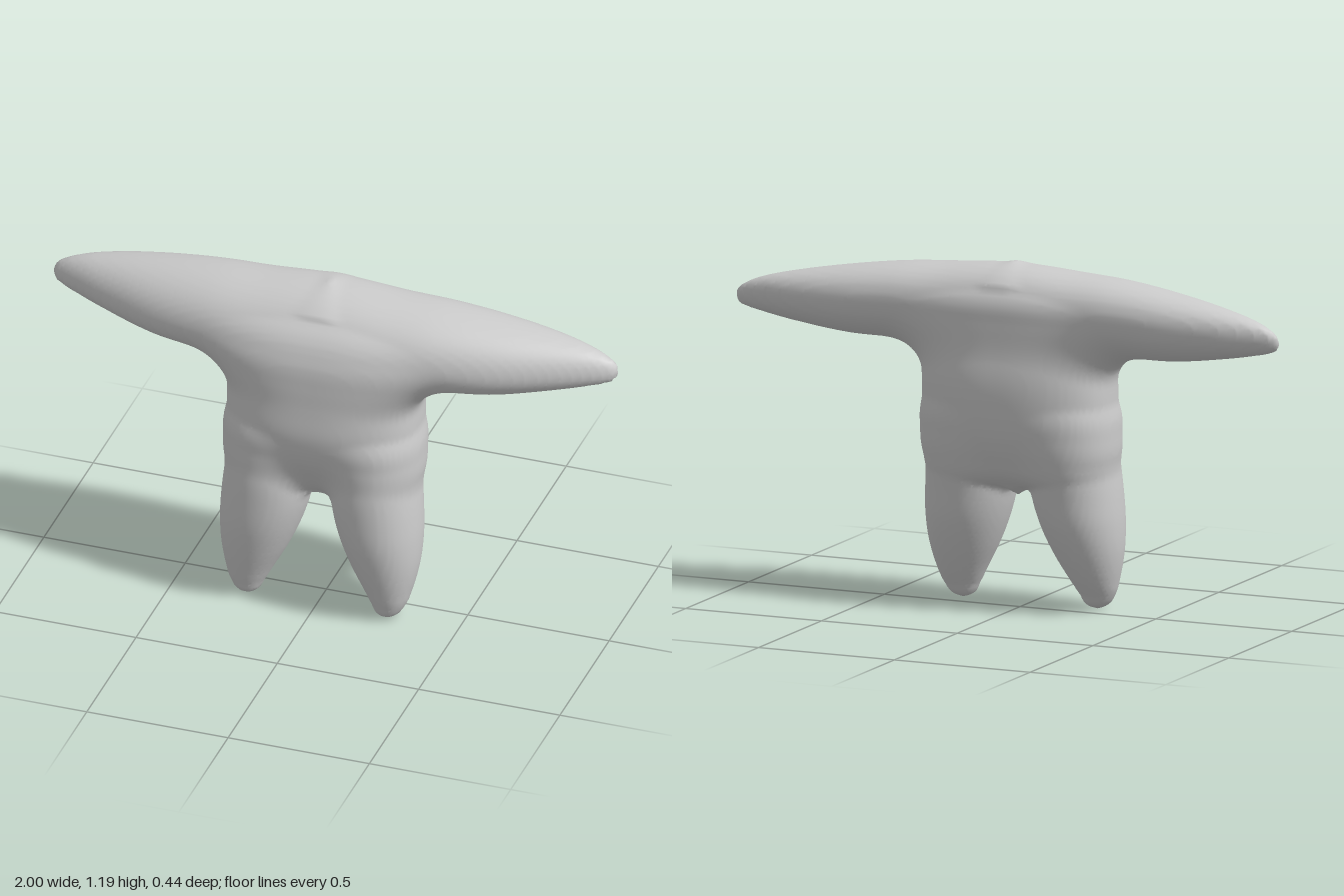
import * as THREE from 'three';

// A soft limb: rows of [t, uMin, uMax, vMin, vMax] give oval sections along an axis.
// Returns a function that is negative inside the limb.
function limb(rows, power, lean = 0) {
  const sections = new THREE.CubicInterpolant(
    rows.map(r => r[0]), rows.flatMap(r => r.slice(1)), 4, new Float32Array(4));
  const first = rows[0][0], last = rows[rows.length - 1][0];
  return (t, u, v) => {
    const tc = Math.min(last, Math.max(first, t));
    const [u0, u1, v0, v1] = sections.evaluate(tc);
    const ru = Math.max(0.003, (u1 - u0) / 2), rv = Math.max(0.003, (v1 - v0) / 2);
    const du = u - (u0 + u1) / 2;
    const dv = v - (v0 + v1) / 2 + lean * du;
    const q = (Math.abs(du / ru) ** power + Math.abs(dv / rv) ** power) ** (1 / power);
    return (q - 1) * Math.min(ru, rv) + Math.abs(t - tc);
  };
}

// Smooth union with a fillet of size k
function blend(a, b, k) {
  const h = Math.max(k - Math.abs(a - b), 0) / k;
  return Math.min(a, b) - h * h * k / 4;
}

// Outstretched arms with the shoulders: |x|, y range, z range
const arms = limb([
  [-0.25, 0.86, 1.165, -0.19, 0.15],
  [0, 0.86, 1.18, -0.19, 0.15],
  [0.25, 0.86, 1.165, -0.19, 0.15],
  [0.4, 0.885, 1.155, -0.193, 0.13],
  [0.6, 0.895, 1.13, -0.19, 0.085],
  [0.8, 0.925, 1.095, -0.165, 0.01],
  [0.9, 0.945, 1.07, -0.14, -0.035],
  [0.96, 0.96, 1.045, -0.122, -0.065],
  [0.99, 0.975, 1.022, -0.11, -0.085],
  [1, 0.997, 1, -0.1, -0.1],
], 2.15, 0.2);

// Torso: y, x range, z range
const torso = limb([
  [0.42, 0.03, -0.08, 0.05],
  [0.46, 0.2, -0.13, 0.1],
  [0.52, 0.29, -0.165, 0.15],
  [0.6, 0.325, -0.195, 0.195],
  [0.7, 0.335, -0.212, 0.217],
  [0.8, 0.335, -0.217, 0.212],
  [0.9, 0.33, -0.205, 0.2],
  [1, 0.29, -0.18, 0.17],
  [1.08, 0.2, -0.15, 0.1],
  [1.12, 0.02, -0.08, 0],
].map(([y, w, back, front]) => [y, -w, w, back, front]), 2.5);

// Tapering leg on the left, mirrored for the right: y, x range, z range
const leg = limb([
  [0, 0.243, 0.25, 0.083, 0.088],
  [0.012, 0.215, 0.278, 0.05, 0.12],
  [0.05, 0.19, 0.308, 0.02, 0.14],
  [0.1, 0.163, 0.325, -0.015, 0.155],
  [0.2, 0.11, 0.345, -0.07, 0.18],
  [0.3, 0.07, 0.35, -0.11, 0.198],
  [0.4, 0.045, 0.345, -0.132, 0.204],
  [0.5, 0.04, 0.335, -0.15, 0.203],
  [0.6, 0.06, 0.325, -0.15, 0.19],
  [0.7, 0.1, 0.29, -0.12, 0.14],
  [0.75, 0.18, 0.21, -0.02, 0.02],
], 2.1);

function bodyField(x, y, z) {
  const legs = blend(leg(y, x, z), leg(y, -x, z), 0.06);
  const trunk = blend(torso(y, x, z), legs, 0.07);
  return blend(trunk, arms(Math.abs(x), y, z), 0.1);
}

// Wraps a smooth skin around the negative region of a field
function skin(field, min, max, step) {
  const n = [0, 1, 2].map(i => Math.ceil((max[i] - min[i]) / step) + 1);
  const stride = [1, n[0], n[0] * n[1]];
  const values = new Float32Array(n[0] * n[1] * n[2]);
  const at = (p, i) => min[i] + p * step;
  let g = 0;
  for (let k = 0; k < n[2]; k++)
    for (let j = 0; j < n[1]; j++)
      for (let i = 0; i < n[0]; i++) values[g++] = field(at(i, 0), at(j, 1), at(k, 2));

  // One vertex per crossed cell, at the mean of its edge crossings
  const ids = new Int32Array(values.length).fill(-1);
  const positions = [], index = [];
  for (let k = 0; k < n[2] - 1; k++)
    for (let j = 0; j < n[1] - 1; j++)
      for (let i = 0; i < n[0] - 1; i++) {
        const cell = i + j * stride[1] + k * stride[2];
        const sum = [0, 0, 0];
        let count = 0;
        for (let c = 0; c < 8; c++) {
          const o = [c & 1, (c >> 1) & 1, c >> 2];
          const here = cell + o[0] + o[1] * stride[1] + o[2] * stride[2];
          for (let a = 0; a < 3; a++) {
            if (o[a]) continue;
            const v0 = values[here], v1 = values[here + stride[a]];
            if ((v0 < 0) === (v1 < 0)) continue;
            for (let b = 0; b < 3; b++) sum[b] += o[b] + (a === b ? v0 / (v0 - v1) : 0);
            count++;
          }
        }
        if (!count) continue;
        ids[cell] = positions.length / 3;
        const p = [i, j, k].map((q, a) => at(q + sum[a] / count, a));
        // Settle the vertex onto the surface
        for (let pass = 0; pass < 2; pass++) {
          const e = 0.002, d = field(...p);
          const grad = [0, 1, 2].map(a => {
            const hi = [...p], lo = [...p];
            hi[a] += e;
            lo[a] -= e;
            return (field(...hi) - field(...lo)) / (2 * e);
          });
          const len2 = Math.max(0.2, grad[0] ** 2 + grad[1] ** 2 + grad[2] ** 2);
          const limit = step * 0.5 / Math.sqrt(len2);
          const move = Math.max(-limit, Math.min(limit, d / len2));
          for (let a = 0; a < 3; a++) p[a] -= grad[a] * move;
        }
        positions.push(...p);
      }

  // One quad per crossed grid edge, facing outward
  for (let k = 1; k < n[2] - 1; k++)
    for (let j = 1; j < n[1] - 1; j++)
      for (let i = 1; i < n[0] - 1; i++) {
        const cell = i + j * stride[1] + k * stride[2];
        for (let a = 0; a < 3; a++) {
          const inside = values[cell] < 0;
          if (inside === values[cell + stride[a]] < 0) continue;
          const b = stride[(a + 1) % 3], c = stride[(a + 2) % 3];
          const q = [cell - b - c, cell - c, cell, cell - b].map(s => ids[s]);
          if (!inside) q.reverse();
          index.push(q[0], q[1], q[2], q[0], q[2], q[3]);
        }
      }

  const geometry = new THREE.BufferGeometry();
  geometry.setAttribute('position', new THREE.Float32BufferAttribute(positions, 3));
  geometry.setIndex(index);
  geometry.computeVertexNormals();
  return geometry;
}

export function createModel() {
  const group = new THREE.Group();
  group.name = 'softFigure';
  const geometry = skin(bodyField, [-1.035, -0.045, -0.285], [1.035, 1.245, 0.285], 0.015);
  const body = new THREE.Mesh(geometry, new THREE.MeshStandardMaterial({ color: 0xcccccc }));
  body.name = 'body';
  group.add(body);
  return group;
}
